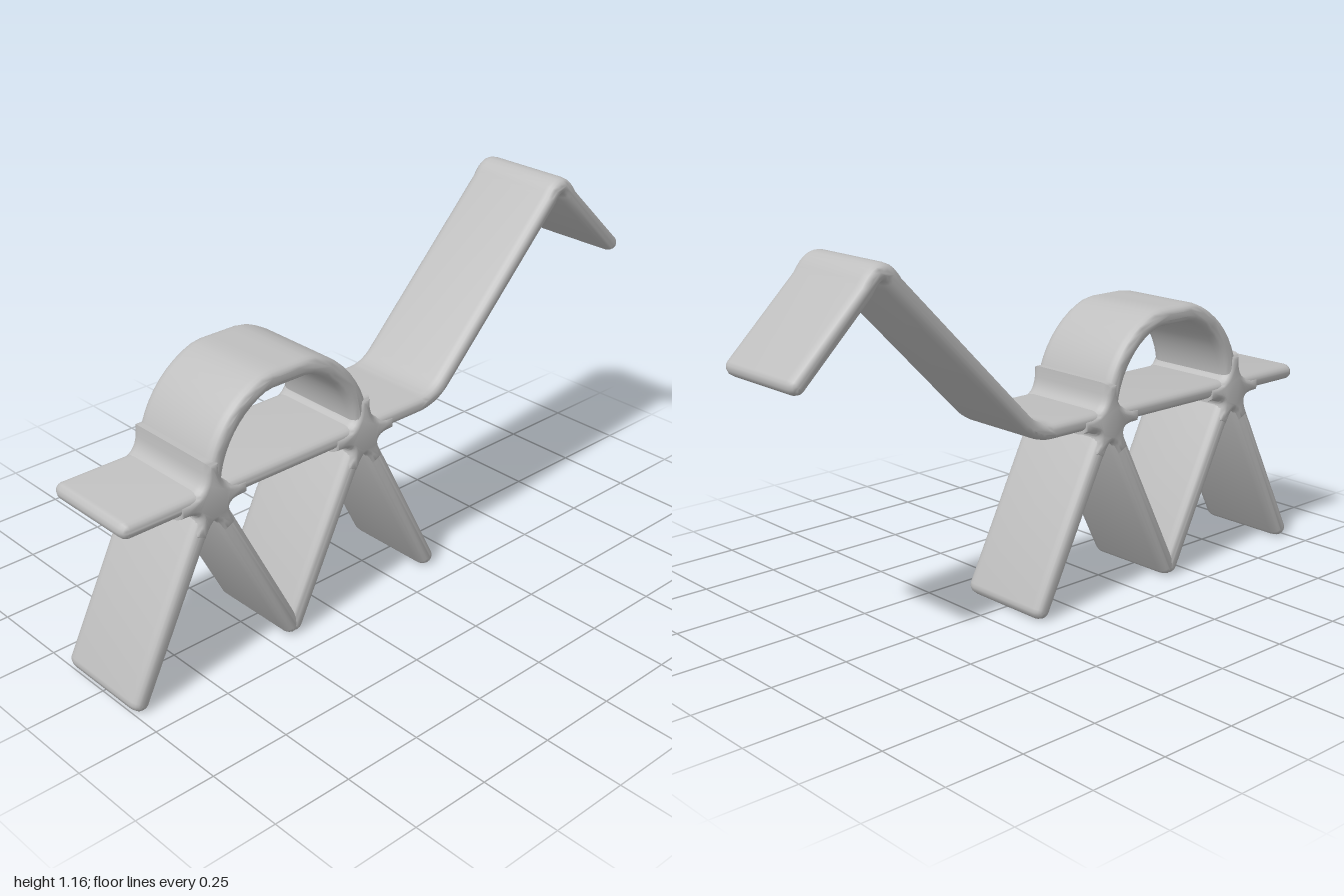
import * as THREE from 'three';
import { toCreasedNormals } from 'three/addons/utils/BufferGeometryUtils.js';

const BEVEL = 0.02;        // rounding of the strip edges, seen from the front
const BEVEL_DEPTH = 0.032; // rounding of the strip edges, across the width
const clay = new THREE.MeshStandardMaterial({ color: 0xbfbfbf });
clay.name = 'light grey';

// Extrude a front outline across z with soft, rounded edges
function slab(name, shape, halfDepth) {
  const geo = new THREE.ExtrudeGeometry(shape, {
    depth: 2 * (halfDepth - BEVEL_DEPTH),
    bevelEnabled: true,
    bevelSize: BEVEL,
    bevelThickness: BEVEL_DEPTH,
    bevelSegments: 4,
    curveSegments: 10,
  });
  geo.translate(0, 0, -(halfDepth - BEVEL_DEPTH));
  const mesh = new THREE.Mesh(toCreasedNormals(geo, 0.9), clay);
  mesh.name = name;
  return mesh;
}

// Round-ended strip of half thickness r along a centre line
function strip(name, pts, r, halfDepth = 0.165) {
  const h = r - BEVEL;
  const left = [], right = [];
  const last = pts.length - 1;
  const dirAt = (i) => pts[Math.min(i + 1, last)].clone().sub(pts[Math.max(i - 1, 0)]).normalize();
  pts.forEach((p, i) => {
    const d = dirAt(i);
    left.push(new THREE.Vector2(p.x - d.y * h, p.y + d.x * h));
    right.push(new THREE.Vector2(p.x + d.y * h, p.y - d.x * h));
  });
  // half-round cap, running clockwise around an end point
  const cap = (p, d) => [1, 2, 3, 4, 5].map((k) => {
    const a = Math.atan2(d.y, d.x) + Math.PI / 2 - (k * Math.PI) / 6;
    return new THREE.Vector2(p.x + Math.cos(a) * h, p.y + Math.sin(a) * h);
  });
  const outline = [
    ...left, ...cap(pts[last], dirAt(last)),
    ...right.reverse(), ...cap(pts[0], dirAt(0).negate()),
  ];
  return slab(name, new THREE.Shape(outline), halfDepth);
}

// Filleted star that blends strips meeting at one point
function hub(name, x, y, degrees, reach) {
  const shape = new THREE.Shape();
  const h = 0.005;
  const at = (a, along, side) => [
    x + Math.cos(a) * along - Math.sin(a) * side,
    y + Math.sin(a) * along + Math.cos(a) * side,
  ];
  degrees.forEach((deg, i) => {
    const a = THREE.MathUtils.degToRad(deg);
    const next = THREE.MathUtils.degToRad(degrees[i + 1] ?? degrees[0] + 360);
    const half = (next - a) / 2;
    if (i === 0) shape.moveTo(...at(a, reach, -h));
    shape.lineTo(...at(a, reach, h));
    shape.quadraticCurveTo(...at(a + half, h / Math.sin(half), 0), ...at(next, reach, -h));
  });
  return slab(name, shape, 0.17);
}

const V = (x, y) => new THREE.Vector2(x, y);

export function createModel() {
  const group = new THREE.Group();
  group.name = 'stripAnimal';
  const cx = -0.42; // centre line of the body

  // Flat back strip, bending up into the neck and down into the head
  const spine = new THREE.Path();
  spine.moveTo(-0.975, 0.583);
  spine.lineTo(0.09, 0.583);
  spine.quadraticCurveTo(0.152, 0.583, 0.196, 0.626);
  spine.lineTo(0.655, 1.093);
  spine.quadraticCurveTo(0.7, 1.17, 0.752, 1.085);
  spine.lineTo(0.973, 0.872);
  group.add(strip('backNeckAndHead', spine.getPoints(10), 0.026));

  // Arched hump with a slightly flattened top
  const arch = [];
  for (let i = 0; i <= 28; i++) {
    const a = Math.PI * (1 - i / 28);
    arch.push(V(cx + 0.275 * Math.cos(a), 0.583 + Math.min(0.285 * Math.sin(a), 0.274)));
  }
  group.add(strip('hump', arch, 0.029));

  for (const [side, s] of [['left', 1], ['right', -1]]) {
    const hx = cx + s * 0.28;
    // Outer leg, and inner leg meeting its twin in a V
    group.add(strip(side + 'OuterLeg', [V(hx, 0.575), V(cx + s * 0.555, 0.03)], 0.029));
    group.add(strip(side + 'InnerLeg', [V(hx, 0.575), V(cx + s * 0.006, 0.033)], 0.029));
    // Joint of the legs, back and hump
    group.add(hub(side + 'Joint', hx, 0.573, [0, 90, 180, 243, 297], 0.1));
  }
  return group;
}
